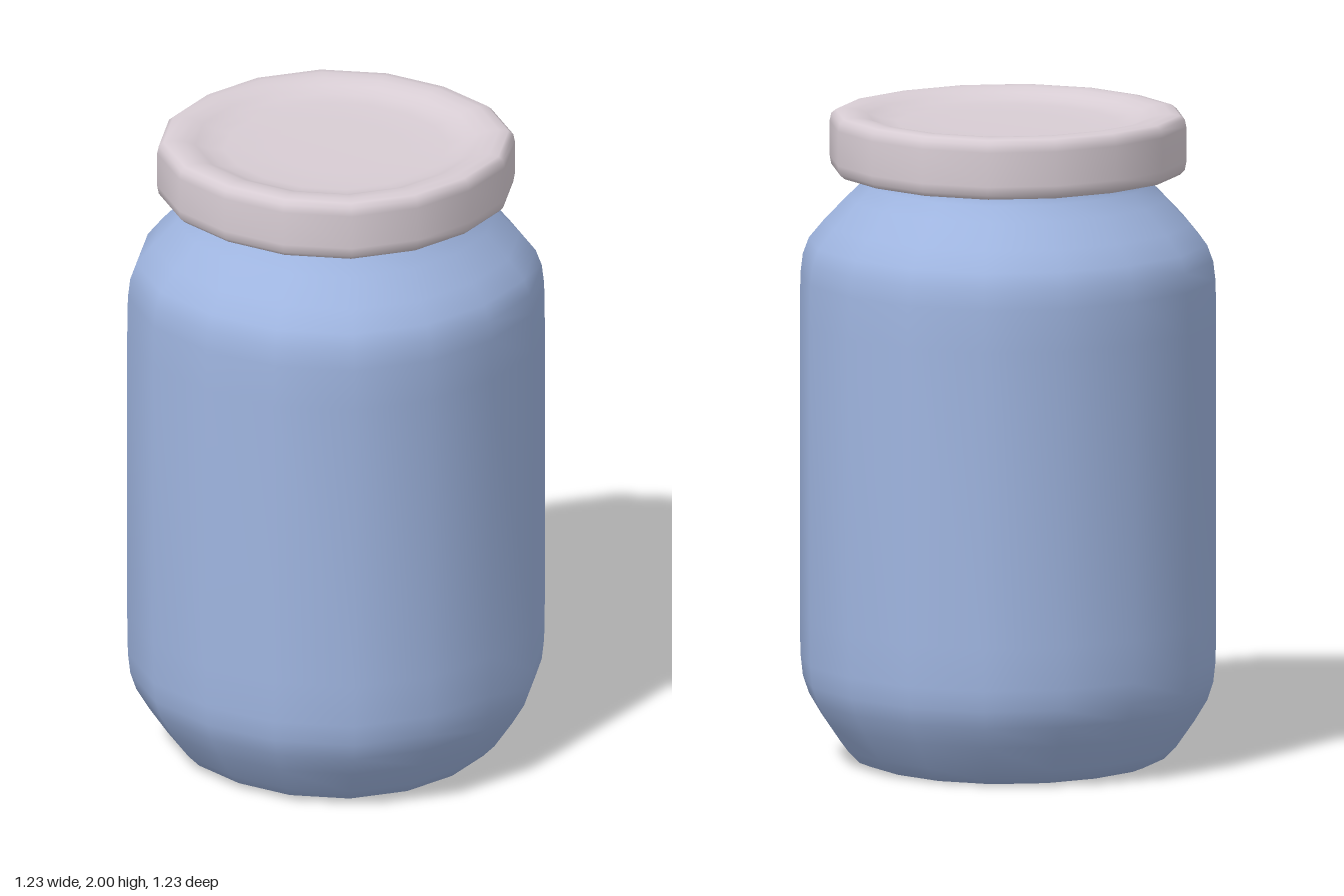
import * as THREE from 'three';
import { mergeVertices } from 'three/addons/utils/BufferGeometryUtils.js';

// Sixteen-sided turned form, slightly squared: the diagonals bulge outwards.
function turned(name, profile, color) {
  const points = profile.map(([r, y]) => new THREE.Vector2(r, y));
  let geometry = new THREE.LatheGeometry(points, 16);
  const pos = geometry.attributes.position;
  for (let i = 0; i < pos.count; i++) {
    const x = pos.getX(i), z = pos.getZ(i);
    const bulge = 1 + 0.0168 * (1 - Math.cos(4 * Math.atan2(z, x)));
    pos.setX(i, x * bulge);
    pos.setZ(i, z * bulge);
  }
  // Weld the seam and poles so the shading is smooth all round
  geometry.deleteAttribute('uv');
  geometry.deleteAttribute('normal');
  geometry = mergeVertices(geometry, 1e-4);
  geometry.computeVertexNormals();
  const mesh = new THREE.Mesh(geometry, new THREE.MeshStandardMaterial({ color }));
  mesh.name = name;
  return mesh;
}

export function createModel() {
  const group = new THREE.Group();
  group.name = 'jar';

  // Body: flat base, rounded heel, straight wall, sloping shoulder, short neck
  group.add(turned('jarBody', [
    [0, 0.005], [0.38, 0.004], [0.425, 0.003], [0.46, 0.017], [0.495, 0.053],
    [0.55, 0.135], [0.588, 0.2], [0.606, 0.255], [0.613, 0.32], [0.615, 0.45],
    [0.615, 1.36], [0.613, 1.49], [0.606, 1.55], [0.588, 1.6], [0.54, 1.66],
    [0.47, 1.735], [0.425, 1.78], [0.408, 1.82], [0.405, 1.88], [0, 1.88],
  ], 0x9fb5e0));

  // Lid: rounded rim with a shallow dish in the top
  group.add(turned('lid', [
    [0.39, 1.83], [0.42, 1.815], [0.48, 1.81], [0.508, 1.814], [0.522, 1.828],
    [0.527, 1.855], [0.527, 1.96], [0.522, 1.984], [0.508, 1.996], [0.48, 2],
    [0.445, 1.997], [0.415, 1.985], [0.38, 1.972], [0.33, 1.964], [0.2, 1.962], [0, 1.962],
  ], 0xd8cdd4));

  return group;
}
